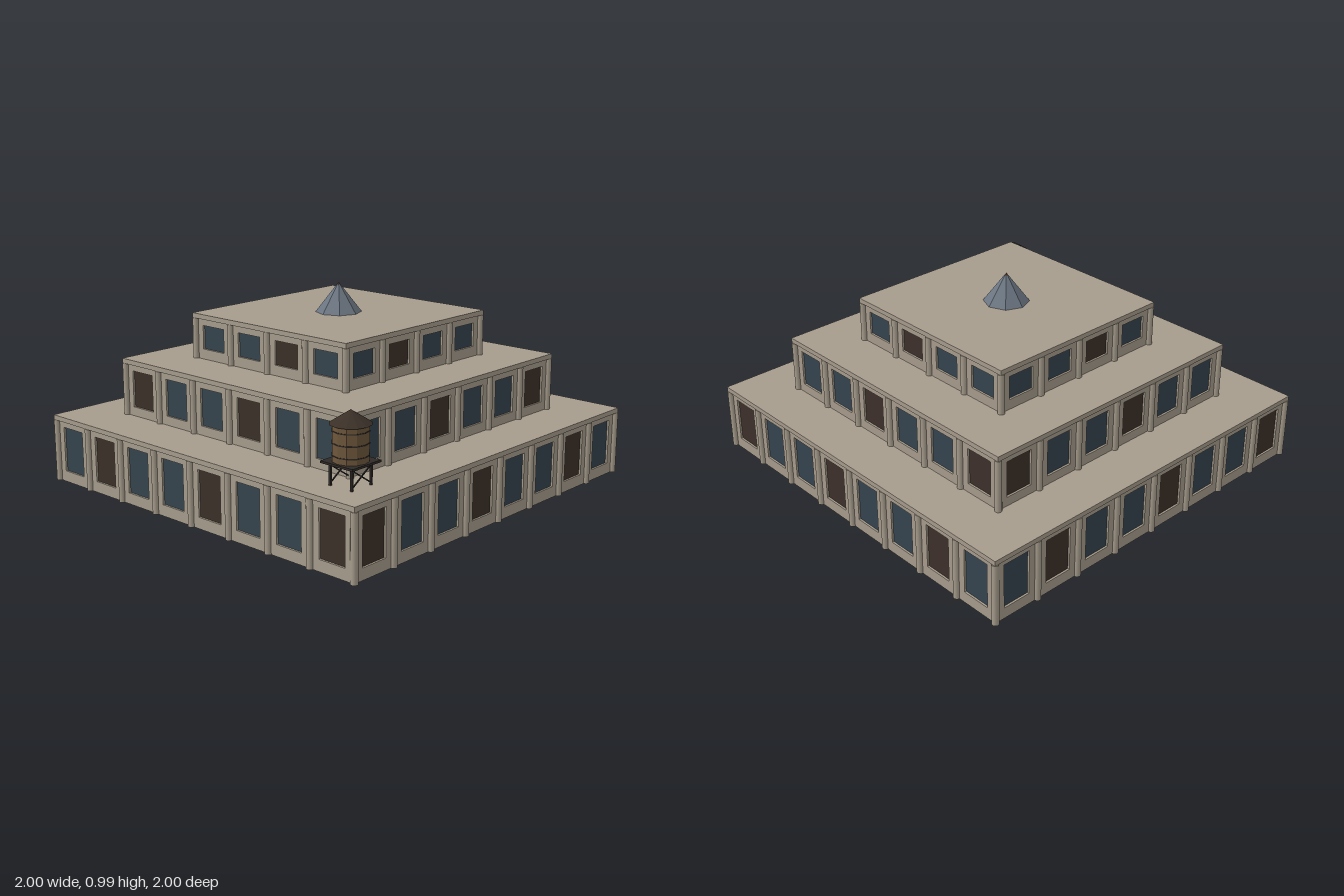
import * as THREE from 'three';

const mat = (name, color, extra = {}) => {
  const m = new THREE.MeshStandardMaterial({ color, ...extra });
  m.name = name;
  return m;
};

export function createModel() {
  const stone = mat('stone', 0xa69c8c);
  const glass = mat('blue glass', 0x36444e);
  const shutter = mat('brown shutter', 0x3c3029);
  const wood = mat('tank wood', 0x6e573c, { flatShading: true });
  const roofing = mat('tank roof', 0x3a3028, { flatShading: true });
  const iron = mat('dark iron', 0x2e2a27);
  const slate = mat('spire metal', 0x6c7682, { flatShading: true });
  const rust = mat('rust', 0x6b4a35, { flatShading: true });

  const model = new THREE.Group();
  const add = (parent, name, geo, material, x = 0, y = 0, z = 0) => {
    const m = new THREE.Mesh(geo, material);
    m.name = name;
    m.position.set(x, y, z);
    parent.add(m);
    return m;
  };

  const BAY = 0.2457, RECESS = 0.015, SLAB = 0.024, POST = 0.017;

  // One facade: wall with window openings, recessed panes and round pilasters
  function facade(tier, t, mirrored) {
    const g = new THREE.Group();
    const half = t.bays * BAY / 2;
    const top = t.y1 - SLAB;
    const wall = new THREE.Shape([
      new THREE.Vector2(-half, t.y0), new THREE.Vector2(half, t.y0),
      new THREE.Vector2(half, top), new THREE.Vector2(-half, top)]);
    for (let i = 0; i < t.bays; i++) {
      const x = (i + 0.5) * BAY - half, w = 0.0725;
      wall.holes.push(new THREE.Path([
        new THREE.Vector2(x - w, t.w0), new THREE.Vector2(x - w, t.w1),
        new THREE.Vector2(x + w, t.w1), new THREE.Vector2(x + w, t.w0)]));
      const index = mirrored ? t.bays - 1 - i : i;
      const pane = (index + tier) % 3 === 0 ? shutter : glass;
      add(g, 'windowPane', new THREE.BoxGeometry(2 * w, t.w1 - t.w0, 0.006), pane,
        x, (t.w0 + t.w1) / 2, half - RECESS + 0.002);
    }
    add(g, 'wall', new THREE.ExtrudeGeometry(wall, { depth: RECESS, bevelEnabled: false }),
      stone, 0, 0, half - RECESS);
    // The last corner post belongs to the next facade
    for (let i = 0; i < t.bays; i++) {
      add(g, 'pilaster', new THREE.CylinderGeometry(POST, POST, top - t.y0, 12), stone,
        i * BAY - half, (top + t.y0) / 2, half);
    }
    return g;
  }

  // Three stepped tiers
  const tiers = [
    { bays: 8, y0: 0, y1: 0.335, w0: 0.055, w1: 0.28 },
    { bays: 6, y0: 0.335, y1: 0.618, w0: 0.38, w1: 0.562 },
    { bays: 4, y0: 0.618, y1: 0.842, w0: 0.668, w1: 0.785 },
  ];
  tiers.forEach((t, tier) => {
    const g = new THREE.Group();
    g.name = ['lowerTier', 'middleTier', 'upperTier'][tier];
    const half = t.bays * BAY / 2, core = 2 * (half - RECESS), slab = 2 * (half + 0.012);
    add(g, 'core', new THREE.BoxGeometry(core, t.y1 - t.y0 - SLAB, core), stone,
      0, (t.y0 + t.y1 - SLAB) / 2, 0);
    add(g, 'roofSlab', new THREE.BoxGeometry(slab, SLAB, slab), stone, 0, t.y1 - SLAB / 2, 0);
    // Opposite facades mirror each other: front, right side, back, left side
    ['frontFacade', 'leftFacade', 'backFacade', 'rightFacade'].forEach((name, k) => {
      const f = facade(tier, t, k >= 2);
      f.name = name;
      f.rotation.y = k * Math.PI / 2;
      g.add(f);
    });
    model.add(g);
  });

  // Faceted spire on the top roof
  add(model, 'spire', new THREE.CylinderGeometry(0.01, 0.113, 0.133, 8), slate, 0, 0.9085, 0);
  add(model, 'spireTip', new THREE.ConeGeometry(0.01, 0.012, 8), rust, 0, 0.981, 0);

  // Water tower on the lower roof
  const tower = new THREE.Group();
  tower.name = 'waterTower';
  tower.position.set(-0.802, 0.335, 0.8);
  const LEG = 0.06, LEG_H = 0.1;
  for (const z of [-LEG, LEG]) {
    for (const s of [-1, 1]) {
      add(tower, 'leg', new THREE.BoxGeometry(0.01, LEG_H, 0.01), iron, s * LEG, LEG_H / 2, z);
      const brace = add(tower, 'brace',
        new THREE.BoxGeometry(Math.hypot(2 * LEG, 0.08), 0.005, 0.005), iron, 0, 0.05, z);
      brace.rotation.z = s * Math.atan2(0.08, 2 * LEG);
    }
  }
  add(tower, 'platform', new THREE.BoxGeometry(0.18, 0.01, 0.18), iron, 0, 0.103, 0);
  add(tower, 'tank', new THREE.CylinderGeometry(0.08, 0.08, 0.16, 12), wood, 0, 0.188, 0);
  for (const y of [0.135, 0.188, 0.24]) {
    add(tower, 'hoop', new THREE.CylinderGeometry(0.082, 0.082, 0.005, 12, 1), iron, 0, y, 0);
  }
  add(tower, 'tankRoof', new THREE.ConeGeometry(0.093, 0.06, 12), roofing, 0, 0.297, 0);
  model.add(tower);

  return model;
}
